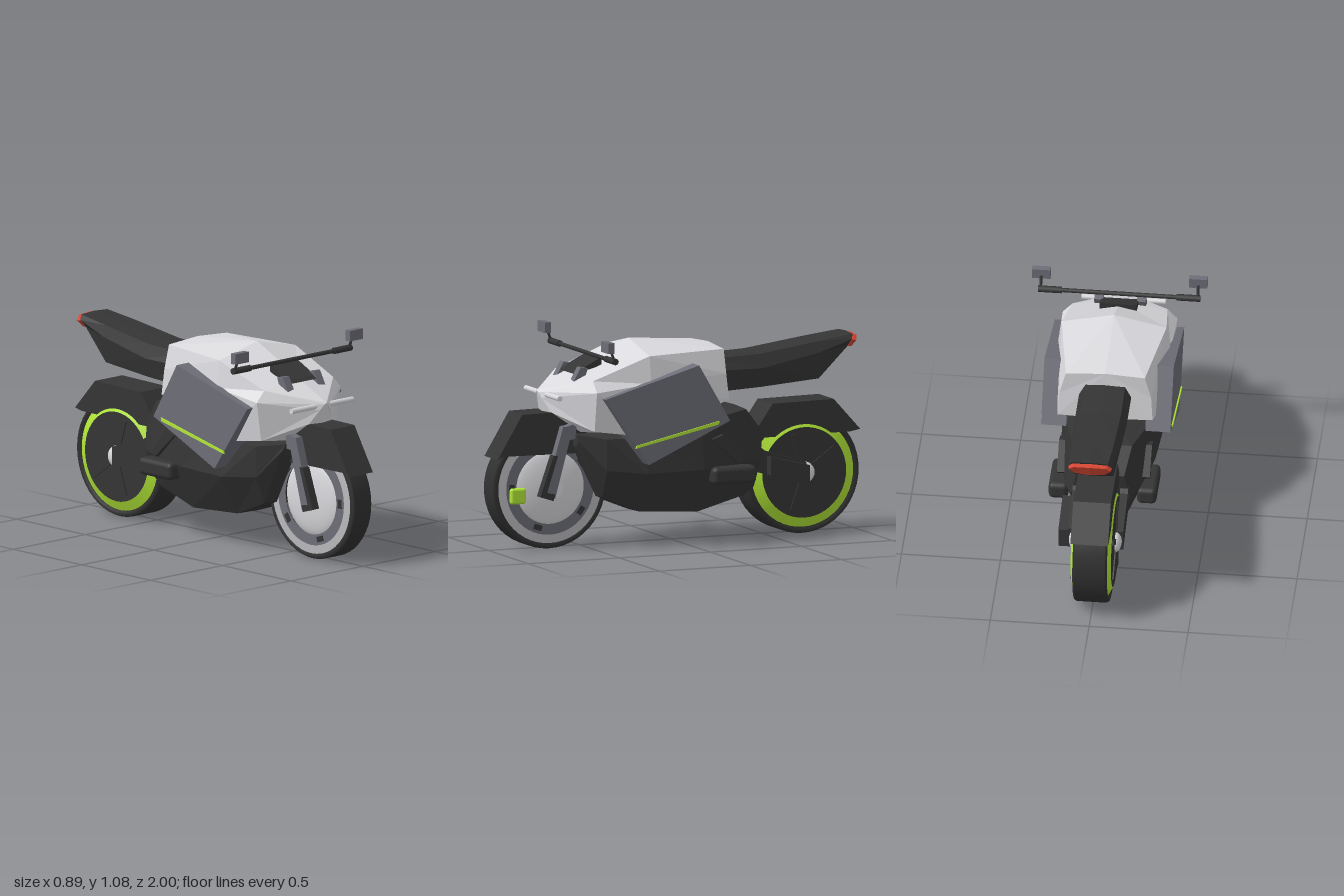
import * as THREE from 'three';
import { RoundedBoxGeometry } from 'three/addons/geometries/RoundedBoxGeometry.js';

const mat = (name, color) => {
  const m = new THREE.MeshStandardMaterial({ color });
  m.name = name;
  return m;
};

export function createModel() {
  const silver = mat('silver', 0xdadade);
  const rimGrey = mat('rimGrey', 0xbcbcc0);
  const slate = mat('slate', 0x6d6e77);
  const black = mat('black', 0x353535);
  const rubber = mat('rubber', 0x313131);
  const lime = mat('lime', 0xb4ea38);
  const red = mat('red', 0xd64734);
  const root = new THREE.Group();
  root.name = 'motorcycle';

  const add = (name, geo, material, x = 0, y = 0, z = 0, parent = root) => {
    const m = new THREE.Mesh(geo, material);
    m.name = name;
    m.position.set(x, y, z);
    parent.add(m);
    return m;
  };

  // Faceted hull through cross-sections, front to back.
  // Each half runs top to bottom on +x as [x, y, z offset].
  const loft = (name, sections, material) => {
    const rings = sections.map(([z, half]) => [
      ...half.map(([x, y, dz = 0]) => [x, y, z + dz]),
      ...half.slice(1, -1).reverse().map(([x, y, dz = 0]) => [-x, y, z + dz]),
    ]);
    const n = rings[0].length, pos = [];
    const tri = (a, b, c) => pos.push(...a, ...b, ...c);
    for (let i = 0; i < rings.length - 1; i++) {
      for (let j = 0; j < n; j++) {
        const k = (j + 1) % n;
        const a = rings[i][j], b = rings[i][k], c = rings[i + 1][k], d = rings[i + 1][j];
        // Mirror the diagonals so both sides match
        if (j < n / 2) { tri(a, b, c); tri(a, c, d); } else { tri(a, b, d); tri(b, c, d); }
      }
    }
    const f = rings[0], e = rings[rings.length - 1];
    for (let j = 1; j < n - 1; j++) { tri(f[0], f[j + 1], f[j]); tri(e[0], e[j], e[j + 1]); }
    const g = new THREE.BufferGeometry();
    g.setAttribute('position', new THREE.Float32BufferAttribute(pos, 3));
    g.computeVertexNormals();
    return add(name, g, material);
  };

  // Side profile in (z, y), extruded across x
  const slab = (name, pts, x0, x1, material) => {
    const s = new THREE.Shape(pts.map(([z, y]) => new THREE.Vector2(-z, y)));
    const g = new THREE.ExtrudeGeometry(s, { depth: x1 - x0, bevelEnabled: false });
    return add(name, g.rotateY(Math.PI / 2), material, x0);
  };
  const slabPair = (name, pts, x0, x1, material) => {
    slab(name + 'Left', pts, x0, x1, material);
    slab(name + 'Right', pts, -x1, -x0, material);
  };

  // Cylinder lying along x
  const rod = (name, r, len, material, x, y, z, seg = 16, parent = root) =>
    add(name, new THREE.CylinderGeometry(r, r, len, seg).rotateZ(Math.PI / 2), material, x, y, z, parent);

  // Wheels: each band is a cone from radius r0 at x0 (inner) to r1 at x1 (outer)
  const wheel = (name, z, w, bands) => {
    const g = new THREE.Group();
    g.name = name;
    g.position.set(0, 0.312, z);
    root.add(g);
    const profile = [[0.2, -0.8], [0.278, -0.85], [0.285, -1], [0.305, -0.99], [0.311, -0.85],
      [0.311, 0.85], [0.305, 0.99], [0.285, 1], [0.278, 0.85], [0.2, 0.8]]
      .map(([r, x]) => new THREE.Vector2(r, x * w));
    add('tyre', new THREE.LatheGeometry(profile, 48).rotateZ(Math.PI / 2), rubber, 0, 0, 0, g);
    for (const s of [1, -1]) {
      for (const [part, r0, x0, r1, x1, material] of bands) {
        const cone = new THREE.LatheGeometry([new THREE.Vector2(r1, x1), new THREE.Vector2(r0, x0)], 48);
        add(part, cone.rotateZ(-s * Math.PI / 2), material, 0, 0, 0, g);
      }
    }
    return g;
  };
  const front = wheel('frontWheel', 0.69, 0.063,
    [['rimRing', 0.24, 0.066, 0.283, 0.064, rimGrey], ['brakeDisc', 0.185, 0.066, 0.24, 0.066, slate]]);
  const rear = wheel('rearWheel', -0.69, 0.087,
    [['rimRing', 0.23, 0.102, 0.279, 0.078, lime], ['wheelCover', 0, 0.102, 0.23, 0.102, black]]);
  for (const s of [1, -1]) {
    // Domed disc on the front wheel
    const dome = new THREE.SphereGeometry(0.2, 36, 10, 0, Math.PI * 2, 0, Math.PI / 2);
    dome.scale(1, 0.22, 1).rotateZ(-s * Math.PI / 2);
    add('wheelDome', dome, silver, s * 0.038, 0, 0, front);
    rod('frontHub', 0.06, 0.025, silver, s * 0.08, 0, 0, 24, front);
    add('rearHub', new THREE.SphereGeometry(0.056, 20, 12).scale(0.6, 1, 1), silver, s * 0.1, 0, 0, rear);
    for (let i = 0; i < 5; i++) {
      const a = (i / 5) * Math.PI * 2 + 0.3;
      const spoke = add('spoke', new THREE.BoxGeometry(0.014, 0.17, 0.028), black,
        s * 0.102, Math.cos(a) * 0.12, Math.sin(a) * 0.12, rear);
      spoke.rotation.x = a;
      const slot = add('discBolt', new THREE.BoxGeometry(0.008, 0.028, 0.045), black,
        s * 0.066, Math.cos(a) * 0.21, Math.sin(a) * 0.21, front);
      slot.rotation.x = a;
    }
  }
  add('brakeCaliper', new RoundedBoxGeometry(0.032, 0.082, 0.085, 3, 0.014), lime, 0.079, 0.28, 0.873);

  // Fenders
  slab('frontFender', [[0.985, 0.47], [0.85, 0.692], [0.62, 0.695], [0.47, 0.56], [0.4, 0.46], [0.5, 0.48], [0.96, 0.485]],
    -0.083, 0.083, black);
  slab('rearFender', [[-0.4, 0.5], [-0.52, 0.67], [-0.855, 0.675], [-1, 0.515], [-0.95, 0.505]],
    -0.095, 0.095, black);

  // Tank and nose fairing
  loft('tankFairing', [
    [0.735, [[0, 0.8], [0.012, 0.793, -0.002], [0.035, 0.765, -0.012], [0.08, 0.695, -0.045], [0, 0.69, -0.03]]],
    [0.53, [[0, 0.895], [0.24, 0.865], [0.29, 0.81], [0.26, 0.61], [0, 0.575]]],
    [0.23, [[0, 1.038], [0.265, 0.978], [0.285, 0.84], [0.29, 0.57], [0, 0.55]]],
    [-0.205, [[0, 0.995], [0.2, 0.982], [0.232, 0.86], [0.24, 0.73, -0.012], [0, 0.72, -0.012]]],
  ], silver);

  // Side panels with a bright lower stripe
  slabPair('sidePanel', [[0.5, 0.78], [-0.015, 0.925], [-0.185, 0.635], [0.26, 0.435]], 0.2, 0.327, slate);
  slabPair('panelStripe', [[0.335, 0.523], [0.33, 0.537], [-0.125, 0.638], [-0.12, 0.62]], 0.326, 0.334, lime);

  // Engine and belly
  loft('engine', [
    [0.57, [[0, 0.59], [0.13, 0.58], [0.15, 0.55], [0.12, 0.52], [0, 0.51]]],
    [0.44, [[0, 0.6], [0.21, 0.56], [0.21, 0.4], [0.15, 0.26], [0, 0.25]]],
    [0.24, [[0, 0.62], [0.23, 0.56], [0.26, 0.38], [0.15, 0.175], [0, 0.17]]],
    [-0.08, [[0, 0.67], [0.22, 0.62], [0.24, 0.38], [0.15, 0.155], [0, 0.15]]],
    [-0.35, [[0, 0.665], [0.15, 0.66], [0.19, 0.4], [0.12, 0.22], [0, 0.215]]],
    [-0.45, [[0, 0.55], [0.12, 0.54], [0.15, 0.4, 0.02], [0.11, 0.26, 0.04], [0, 0.25, 0.04]]],
  ], black);
  slabPair('footBracket', [[-0.13, 0.53], [-0.19, 0.55], [-0.3, 0.43], [-0.27, 0.4]], 0.18, 0.235, black);
  for (const s of [1, -1]) {
    add('exhaust', new RoundedBoxGeometry(0.1, 0.09, 0.24, 2, 0.025), black, s * 0.223, 0.345, -0.24);
  }

  // Swingarm; the left arm carries a chain guard
  slabPair('swingarm', [[-0.38, 0.5], [-0.46, 0.44], [-0.685, 0.37], [-0.685, 0.258], [-0.43, 0.33], [-0.36, 0.36]],
    0.1, 0.14, black);
  slab('chainGuard', [[-0.47, 0.415], [-0.685, 0.36], [-0.685, 0.258], [-0.47, 0.32]], 0.14, 0.188, black);

  // Seat, tail and tail light
  loft('seatTail', [
    [-0.2, [[0, 0.925], [0.1, 0.92], [0.132, 0.86], [0.11, 0.75], [0, 0.745]]],
    [-0.45, [[0, 0.935], [0.105, 0.93], [0.132, 0.86], [0.11, 0.762], [0, 0.76]]],
    [-0.77, [[0, 0.977], [0.1, 0.975], [0.12, 0.92], [0.1, 0.785], [0, 0.78]]],
    [-0.94, [[0, 1.005, -0.02], [0.09, 1.0, -0.02], [0.107, 0.975, -0.01], [0.08, 0.94], [0, 0.935]]],
  ], black);
  loft('tailLight', [
    [-0.94, [[0, 0.998, -0.02], [0.088, 0.994, -0.02], [0.11, 0.972, -0.01], [0.08, 0.937], [0, 0.932]]],
    [-0.96, [[0, 0.997, -0.032], [0.08, 0.992, -0.026], [0.108, 0.97, -0.015], [0.075, 0.935], [0, 0.93, -0.004]]],
  ], red);

  // Front fork
  slabPair('forkLeg', [[0.59, 0.625], [0.645, 0.625], [0.75, 0.28], [0.69, 0.262]], 0.085, 0.13, slate);
  slabPair('forkGuard', [[0.675, 0.48], [0.7, 0.48], [0.772, 0.275], [0.7, 0.252], [0.69, 0.285], [0.735, 0.295]],
    0.088, 0.133, black);
  slab('forkCrown', [[0.57, 0.64], [0.645, 0.62], [0.665, 0.55], [0.58, 0.56]], -0.13, 0.13, slate);

  // Handlebar, grips and mirrors
  rod('handlebar', 0.011, 0.8, black, 0, 0.983, 0.48, 8);
  for (const s of [1, -1]) {
    rod('grip', 0.017, 0.12, black, s * 0.35, 0.983, 0.48, 8);
    const stalk = add('mirrorStalk', new THREE.CylinderGeometry(0.007, 0.007, 0.07, 8), black, s * 0.397, 1.015, 0.493);
    stalk.rotation.x = 0.35;
    add('mirror', new THREE.BoxGeometry(0.092, 0.054, 0.033), slate, s * 0.397, 1.058, 0.519);
  }

  // Dash with its brackets, and the nose bar
  slab('dash', [[0.57, 0.885], [0.55, 0.9], [0.42, 0.962], [0.42, 0.92]], -0.094, 0.094, black);
  slabPair('dashBracket', [[0.59, 0.85], [0.55, 0.922], [0.51, 0.915], [0.53, 0.86]], 0.085, 0.13, slate);
  rod('noseBar', 0.014, 0.426, silver, 0, 0.782, 0.7, 8);

  return root;
}
